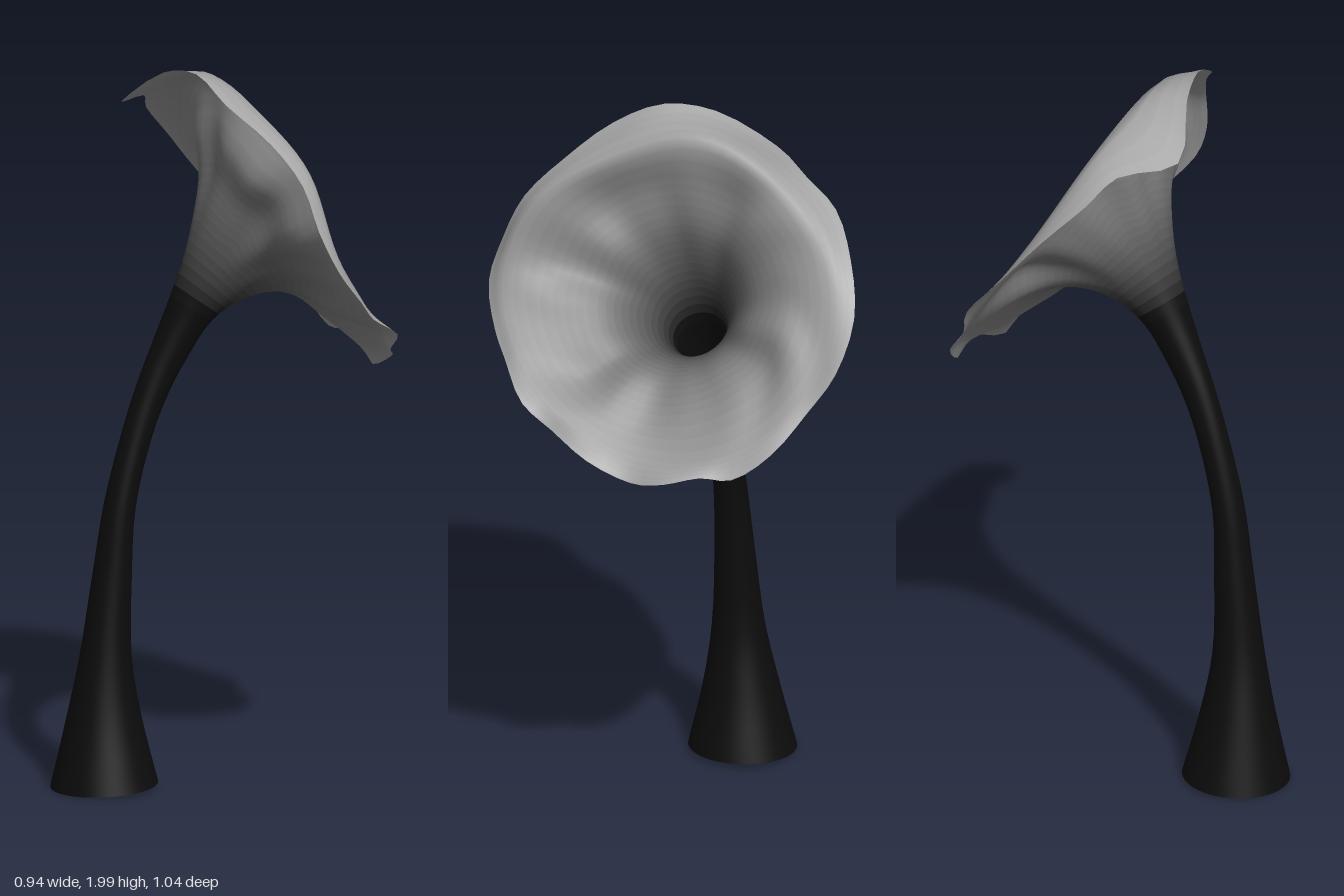
import * as THREE from 'three';

// Cross-sections from foot to bell: upper/back edge x,y, lower/front edge x,y, half width in z, centre z
const RINGS = [
  [-0.47, 0.005, -0.18, 0.02, 0.147, -0.02],
  [-0.428, 0.2, -0.226, 0.2, 0.102, -0.015],
  [-0.395, 0.37, -0.255, 0.37, 0.072, -0.008],
  [-0.36, 0.6, -0.255, 0.59, 0.055, -0.004],
  [-0.328, 0.8, -0.245, 0.78, 0.046, 0],
  [-0.275, 1.0, -0.2, 0.965, 0.042, 0],
  [-0.235, 1.12, -0.155, 1.08, 0.043, 0],
  [-0.195, 1.22, -0.1, 1.18, 0.05, 0],
  [-0.14, 1.35, -0.03, 1.28, 0.068, 0],
  [-0.095, 1.47, 0.05, 1.33, 0.1, 0],
  [-0.06, 1.58, 0.14, 1.347, 0.156, 0],
  [-0.035, 1.68, 0.22, 1.33, 0.225, 0],
  [-0.03, 1.8, 0.3, 1.27, 0.335, 0],
];

// Crest where the bell rolls backwards, every 30 degrees from the top towards +z
const CREST = [
  [-0.02, 1.95, -0.01], [0.05, 1.88, 0.22], [0.12, 1.76, 0.39], [0.17, 1.55, 0.47],
  [0.27, 1.39, 0.4], [0.38, 1.26, 0.22], [0.39, 1.18, 0], [0.39, 1.2, -0.19],
  [0.33, 1.28, -0.35], [0.19, 1.46, -0.46], [0.05, 1.69, -0.41], [-0.01, 1.86, -0.24],
];

// Irregular lip of the flower, every 15 degrees from the top towards +z
const LIP = [
  [-0.16, 1.97, -0.01], [-0.11, 1.99, 0.12], [-0.07, 1.93, 0.25], [0.02, 1.84, 0.36],
  [0.08, 1.74, 0.45], [0.11, 1.62, 0.5], [0.16, 1.51, 0.52], [0.24, 1.41, 0.47],
  [0.29, 1.35, 0.42], [0.39, 1.28, 0.33], [0.4, 1.22, 0.24], [0.445, 1.17, 0.12],
  [0.43, 1.12, 0], [0.465, 1.15, -0.11], [0.43, 1.17, -0.2], [0.4, 1.165, -0.28],
  [0.36, 1.24, -0.38], [0.27, 1.34, -0.45], [0.22, 1.44, -0.51], [0.11, 1.56, -0.52],
  [0.01, 1.68, -0.47], [-0.08, 1.78, -0.39], [-0.12, 1.84, -0.29], [-0.23, 1.86, -0.16],
];

const COLS = 72;
const STEPS = 4; // rows per ring interval
const ROWS = (RINGS.length + 1) * STEPS;

// Point on an elliptical ring, shifted along the bell's axis by the ripple
function ringPoint([ux, uy, lx, ly, w, cz], t, ripple) {
  const c = Math.cos(t);
  return new THREE.Vector3(
    (ux + lx) / 2 + c * (ux - lx) / 2 + 0.82 * ripple,
    (uy + ly) / 2 + c * (uy - ly) / 2 + 0.58 * ripple,
    cz + w * Math.sin(t));
}

const loop = (list) => new THREE.CatmullRomCurve3(list.map((p) => new THREE.Vector3(...p)), true);

export function createModel() {
  const model = new THREE.Group();
  model.name = 'trumpetFlower';
  const crest = loop(CREST);
  const lip = loop(LIP);

  // One spline per column runs from the foot to the lip
  const positions = new Float32Array((ROWS + 1) * COLS * 3);
  for (let j = 0; j < COLS; j++) {
    const t = (j / COLS) * Math.PI * 2;
    const wave = Math.sin(7 * t + 0.6) + 0.6 * Math.sin(11 * t + 2);
    const points = RINGS.map((ring, i) => ringPoint(ring, t, 0.004 * Math.max(0, i - 9) * wave));
    points.push(crest.getPoint(j / COLS), lip.getPoint(j / COLS));
    const column = new THREE.CatmullRomCurve3(points);
    for (let i = 0; i <= ROWS; i++) {
      column.getPoint(i / ROWS).toArray(positions, (i * COLS + j) * 3);
    }
  }

  const strip = (from, to) => {
    const index = [];
    for (let i = from; i < to; i++) {
      for (let j = 0; j < COLS; j++) {
        const a = i * COLS + j;
        const b = i * COLS + (j + 1) % COLS;
        index.push(a, b, a + COLS, b, b + COLS, a + COLS);
      }
    }
    return index;
  };

  // Normals are shared by all bands so that the seams stay smooth
  const whole = new THREE.BufferGeometry();
  whole.setAttribute('position', new THREE.BufferAttribute(positions, 3));
  whole.setIndex(strip(0, ROWS));
  whole.computeVertexNormals();

  const addBand = (name, from, to, color) => {
    const geometry = new THREE.BufferGeometry();
    geometry.setAttribute('position', whole.getAttribute('position'));
    geometry.setAttribute('normal', whole.getAttribute('normal'));
    geometry.setIndex(strip(from, to));
    const mesh = new THREE.Mesh(geometry,
      new THREE.MeshStandardMaterial({ color, side: THREE.DoubleSide }));
    mesh.name = name;
    model.add(mesh);
  };

  // Dark stem, then the bell lightening row by row towards the lip
  const bellStart = 8 * STEPS;
  addBand('stem', 0, bellStart, 0x0c0c0c);
  const dark = new THREE.Color(0x101010);
  const light = new THREE.Color(0xa8a8a8);
  for (let i = bellStart; i < ROWS; i++) {
    const k = (i - bellStart) / (ROWS - 1 - bellStart);
    const name = k < 0.4 ? 'throat' : k < 0.83 ? 'bell' : 'lip';
    addBand(name + (i - bellStart), i, i + 1, dark.clone().lerp(light, k));
  }
  return model;
}
